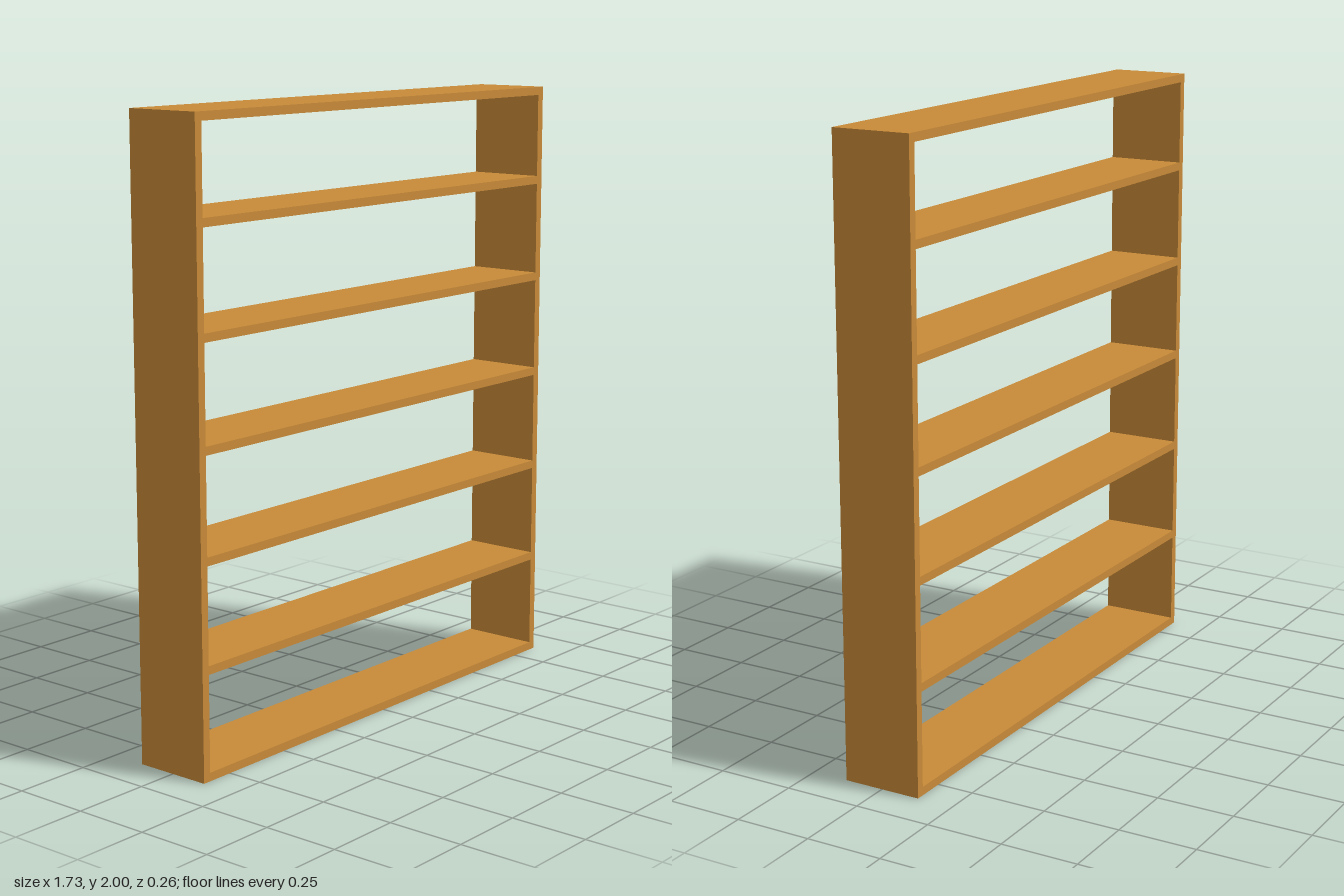
import * as THREE from 'three';

const WIDTH = 1.73, HEIGHT = 2, DEPTH = 0.26, BOARD = 0.027;
const SHELF_PITCH = 0.334, SHELF_COUNT = 5;

export function createModel() {
  const group = new THREE.Group();
  group.name = 'bookcase';
  const wood = new THREE.MeshStandardMaterial({ color: 0xc88a38 });

  const addBoard = (name, width, height, x, y) => {
    const board = new THREE.Mesh(new THREE.BoxGeometry(width, height, DEPTH), wood);
    board.name = name;
    board.position.set(x, y, 0);
    group.add(board);
  };

  // Upright side panels
  const sideX = (WIDTH - BOARD) / 2;
  addBoard('leftSide', BOARD, HEIGHT, sideX, HEIGHT / 2);
  addBoard('rightSide', BOARD, HEIGHT, -sideX, HEIGHT / 2);

  // Bottom and top boards fitted between the sides
  const innerWidth = WIDTH - 2 * BOARD;
  addBoard('bottomBoard', innerWidth, BOARD, 0, BOARD / 2);
  addBoard('topBoard', innerWidth, BOARD, 0, HEIGHT - BOARD / 2);

  // Evenly spaced shelves; the top bay is slightly shorter
  for (let i = 1; i <= SHELF_COUNT; i++) {
    addBoard(`shelf${i}`, innerWidth, BOARD, 0, BOARD / 2 + i * SHELF_PITCH);
  }
  return group;
}
